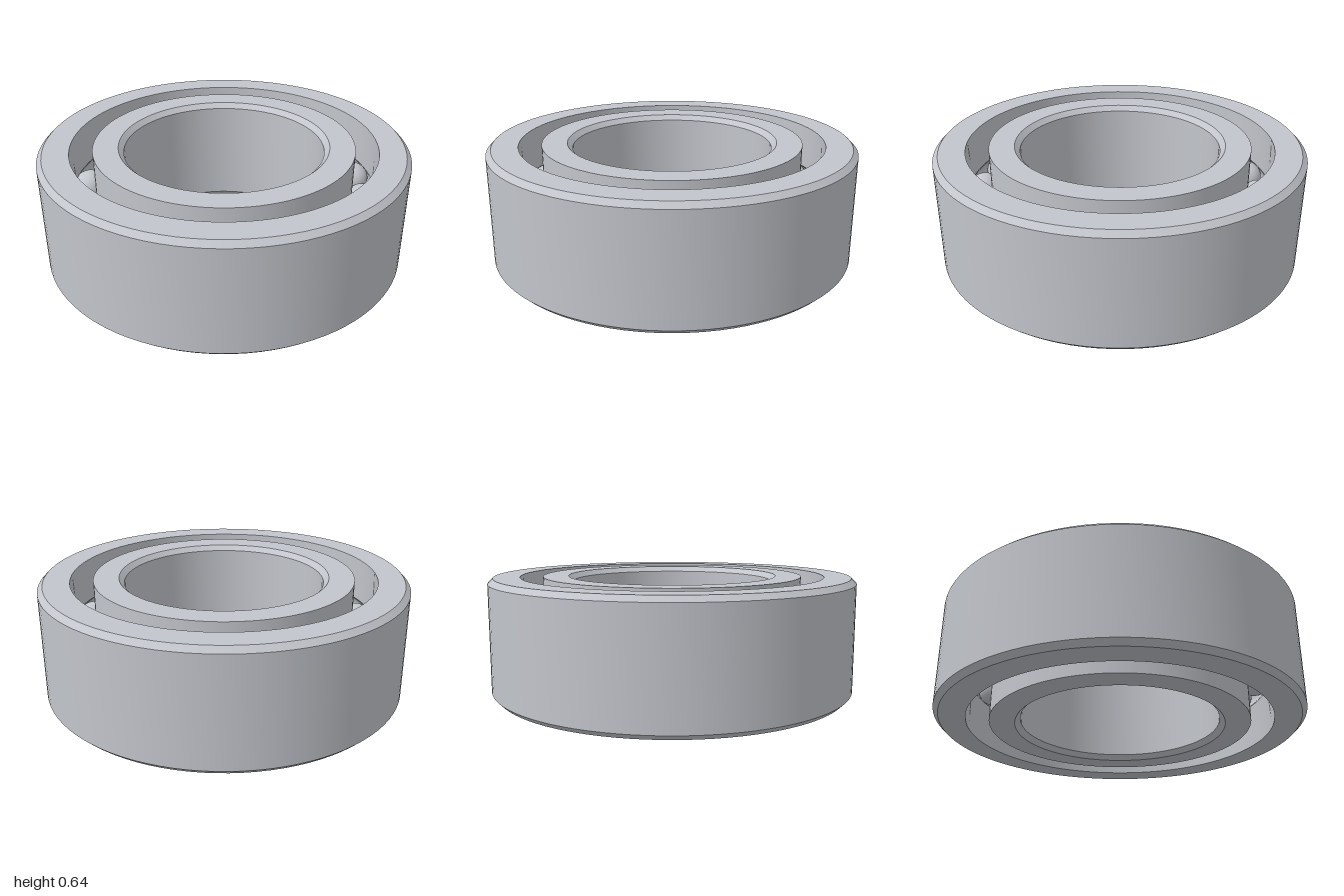
import * as THREE from 'three';
import { toCreasedNormals } from 'three/addons/utils/BufferGeometryUtils.js';

const HEIGHT = 0.637, MID = HEIGHT / 2;
const PITCH = 0.77, BALL_RADIUS = 0.095, BALL_COUNT = 18;
const GROOVE_RADIUS = 0.097, CHAMFER = 0.028;

export function createModel() {
  const steel = new THREE.MeshStandardMaterial({ color: 0xc2c5cb });
  steel.name = 'steel';
  const model = new THREE.Group();
  model.name = 'ballBearing';

  // Arc of the ball groove cut into a race wall; side is +1 for the outer race
  function groove(wall, side) {
    const half = Math.acos(Math.abs(wall - PITCH) / GROOVE_RADIUS);
    const points = [];
    for (let i = 0; i <= 14; i++) {
      const a = half * (1 - i / 7);
      points.push([PITCH + side * GROOVE_RADIUS * Math.cos(a), MID - side * GROOVE_RADIUS * Math.sin(a)]);
    }
    // run downward on the outer race, upward on the inner race
    return side > 0 ? points.map(([r, y]) => [r, HEIGHT - y]) : points.map(([r, y]) => [r, HEIGHT - y]);
  }

  // Closed counter-clockwise section (radius, height) spun about y
  function addRing(name, section) {
    const points = [...section, section[0]].map(([r, y]) => new THREE.Vector2(r, y));
    const mesh = new THREE.Mesh(toCreasedNormals(new THREE.LatheGeometry(points, 96), 0.35), steel);
    mesh.name = name;
    model.add(mesh);
  }

  // Outer ring: chamfered outside, grooved inside
  const outer = 1, outerWall = 0.83;
  addRing('outerRing', [
    [outerWall, 0], [outer - CHAMFER, 0], [outer, CHAMFER],
    [outer, HEIGHT - CHAMFER], [outer - CHAMFER, HEIGHT], [outerWall, HEIGHT],
    ...groove(outerWall, 1),
  ]);

  // Inner ring: grooved outside, chamfered bore
  const bore = 0.543, innerWall = 0.708;
  addRing('innerRing', [
    [bore + CHAMFER, 0], [innerWall, 0],
    ...groove(innerWall, -1).sort((a, b) => a[1] - b[1]),
    [innerWall, HEIGHT], [bore + CHAMFER, HEIGHT],
    [bore, HEIGHT - CHAMFER], [bore, CHAMFER],
  ]);

  // Balls evenly spaced on the pitch circle
  const balls = new THREE.Group();
  balls.name = 'balls';
  const ballGeometry = new THREE.SphereGeometry(BALL_RADIUS, 32, 20);
  for (let i = 0; i < BALL_COUNT; i++) {
    const a = (i / BALL_COUNT) * Math.PI * 2;
    const ball = new THREE.Mesh(ballGeometry, steel);
    ball.name = 'ball';
    ball.position.set(Math.cos(a) * PITCH, MID, Math.sin(a) * PITCH);
    balls.add(ball);
  }
  model.add(balls);
  return model;
}
